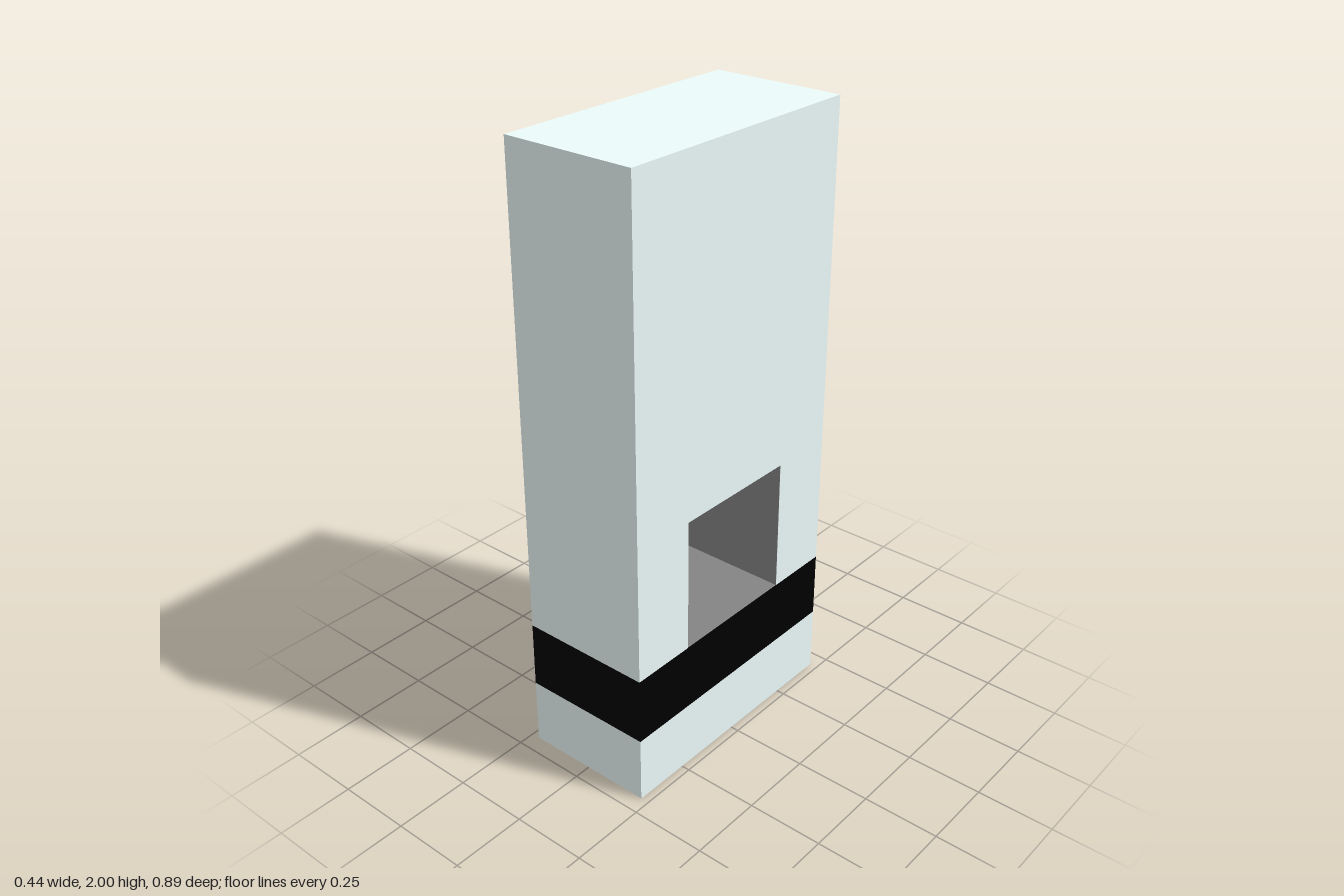
import * as THREE from 'three';

const U = 2 / 9; // module size: the block is 2 x 9 x 4 units

export function createModel() {
  const group = new THREE.Group();
  const mat = (color) => new THREE.MeshStandardMaterial({ color });
  const bodyMat = mat(0xecfaf9);
  const liningMat = mat(0x848484);

  const add = (name, geometry, material, y = 0) => {
    const mesh = new THREE.Mesh(geometry, material);
    mesh.name = name;
    mesh.position.y = y;
    group.add(mesh);
  };

  // Plinth and the flush dark band above it
  add('base', new THREE.BoxGeometry(2 * U, U, 4 * U), bodyMat, U / 2);
  add('darkBand', new THREE.BoxGeometry(2 * U, U, 4 * U), mat(0x000000), 1.5 * U);

  // Tower: an upside-down U profile, extruded across the width
  const profile = new THREE.Shape([
    [-2, 2], [-1, 2], [-1, 4], [1, 4], [1, 2], [2, 2], [2, 9], [-2, 9],
  ].map(([z, y]) => new THREE.Vector2(z * U, y * U)));
  const tower = new THREE.ExtrudeGeometry(profile, { depth: 2 * U, bevelEnabled: false });
  tower.translate(0, 0, -U).rotateY(Math.PI / 2);
  add('tower', tower, bodyMat);

  // Grey floor, jambs and ceiling of the through opening, all facing inward
  ['backJamb', 'openingCeiling', 'frontJamb', 'openingFloor'].forEach((name, i) => {
    const panel = new THREE.PlaneGeometry(2 * U, 2 * U - 0.002);
    panel.translate(0, 0, 0.001 - U).rotateX(i * Math.PI / 2);
    add(name, panel, liningMat, 3 * U);
  });

  return group;
}
